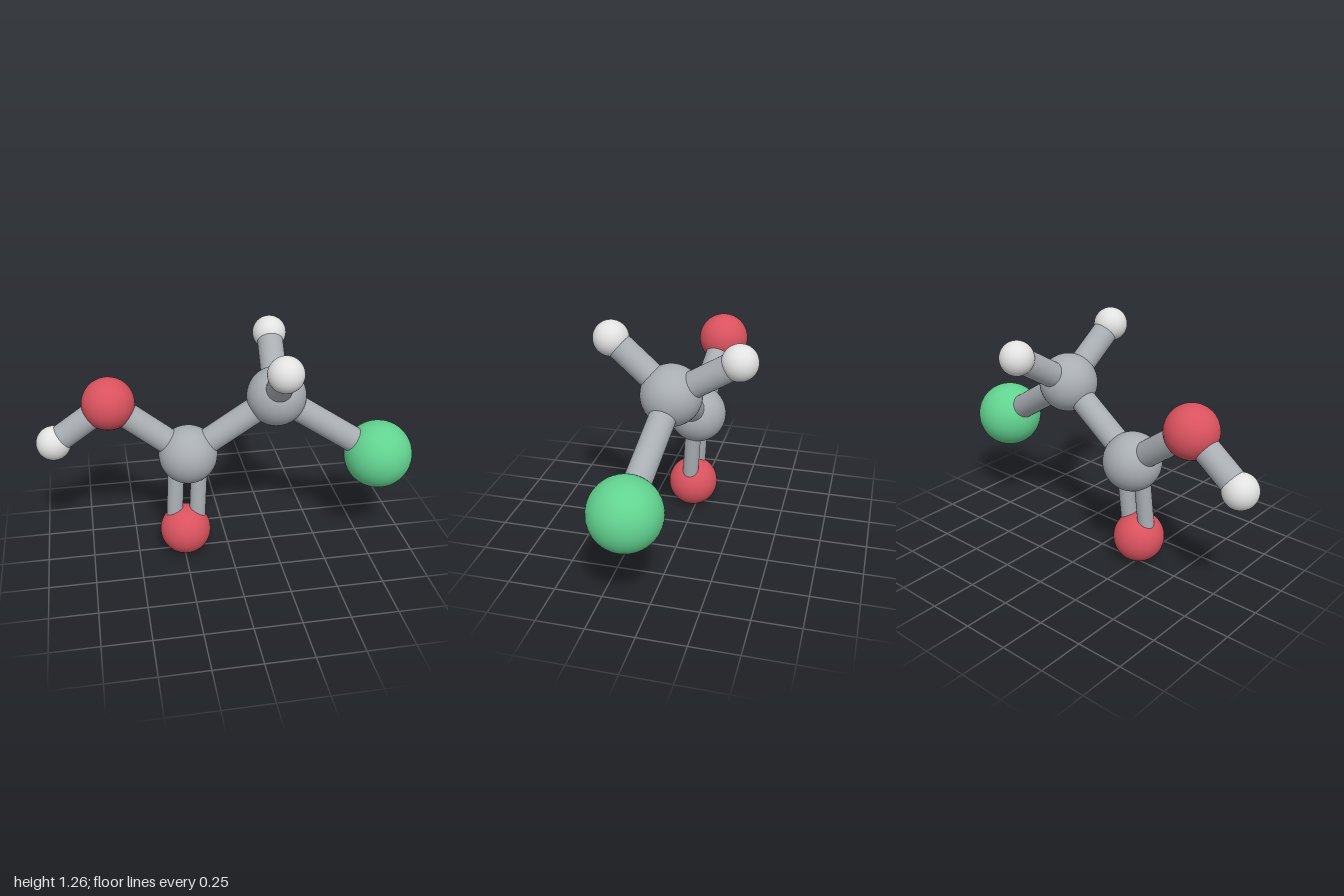
import * as THREE from 'three';

const mat = (name, color) => Object.assign(new THREE.MeshStandardMaterial({ color }), { name });

export function createModel() {
  const model = new THREE.Group();
  model.name = 'ballAndStickMolecule';
  const grey = mat('grey', 0xa9aeb3);
  const red = mat('red', 0xd9525e);
  const green = mat('green', 0x62d390);
  const white = mat('white', 0xe2e2e2);

  // Atoms: position, radius, material
  const atoms = {
    carboxylCarbon: [[-0.213, 0.59, -0.008], 0.157, grey],
    methyleneCarbon: [[0.255, 0.907, 0.017], 0.157, grey],
    carbonylOxygen: [[-0.241, 0.139, 0.023], 0.138, red],
    hydroxylOxygen: [[-0.614, 0.895, -0.066], 0.138, red],
    chlorine: [[0.811, 0.549, 0.092], 0.184, green],
    hydroxylHydrogen: [[-0.91, 0.684, -0.08], 0.091, white],
    frontHydrogen: [[0.224, 1.167, 0.33], 0.091, white],
    backHydrogen: [[0.286, 1.125, -0.328], 0.091, white],
  };
  const at = {};
  for (const [name, [p, r, material]] of Object.entries(atoms)) {
    const ball = new THREE.Mesh(new THREE.SphereGeometry(r, 48, 32), material);
    ball.name = name;
    ball.position.set(...p);
    at[name] = ball.position;
    model.add(ball);
  }

  // Bond: a cylinder between two points
  const up = new THREE.Vector3(0, 1, 0);
  function bond(name, a, b, radius) {
    const dir = b.clone().sub(a);
    const rod = new THREE.Mesh(new THREE.CylinderGeometry(radius, radius, dir.length(), 32, 1, true), grey);
    rod.name = name;
    rod.position.copy(a).add(b).multiplyScalar(0.5);
    rod.quaternion.setFromUnitVectors(up, dir.normalize());
    model.add(rod);
  }

  // Single bonds
  for (const [a, b] of [
    ['carboxylCarbon', 'methyleneCarbon'],
    ['carboxylCarbon', 'hydroxylOxygen'],
    ['hydroxylOxygen', 'hydroxylHydrogen'],
    ['methyleneCarbon', 'chlorine'],
    ['methyleneCarbon', 'frontHydrogen'],
    ['methyleneCarbon', 'backHydrogen'],
  ]) bond(`${a}To${b[0].toUpperCase()}${b.slice(1)}Bond`, at[a], at[b], 0.069);

  // Double bond: two thin rods side by side in the plane of the carboxyl group
  const axis = at.carbonylOxygen.clone().sub(at.carboxylCarbon).normalize();
  const side = at.methyleneCarbon.clone().sub(at.hydroxylOxygen).projectOnPlane(axis).normalize();
  for (const s of [-1, 1]) {
    const shift = side.clone().multiplyScalar(s * 0.062);
    bond(s < 0 ? 'doubleBondRight' : 'doubleBondLeft',
      at.carboxylCarbon.clone().add(shift), at.carbonylOxygen.clone().add(shift), 0.044);
  }
  return model;
}
